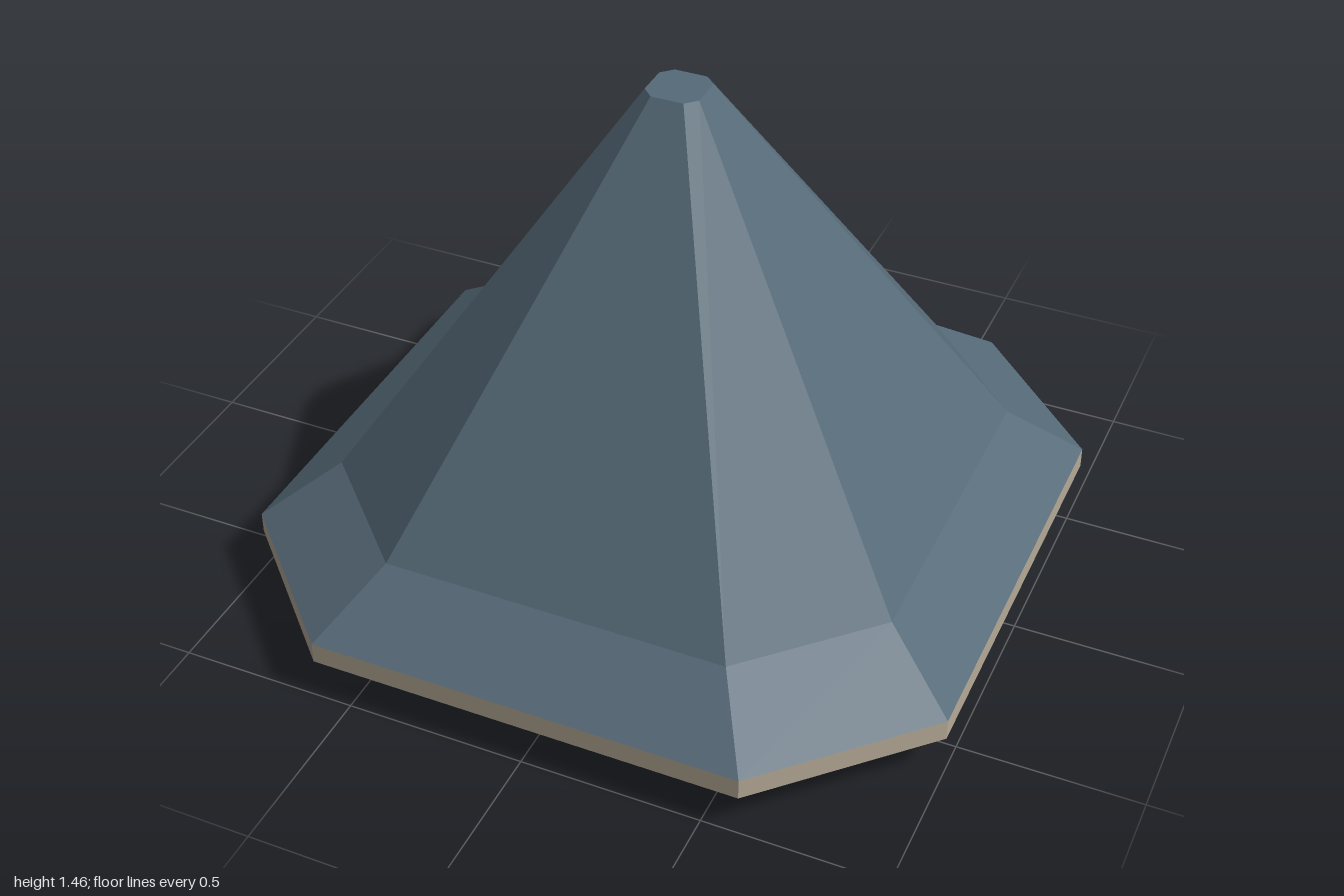
import * as THREE from 'three';

// Square with cut corners, counter-clockwise seen from above (x, z)
const OUTLINE = [
  [1, 0.6], [1, -0.6], [0.6, -1], [-0.6, -1],
  [-1, -0.6], [-1, 0.6], [-0.6, 1], [0.6, 1],
];

// Stack of scaled outlines; rings are [half width, height] from bottom to top
function stackedRings(rings, { capBottom = false, capTop = false } = {}) {
  const loops = rings.map(([s, y]) => OUTLINE.map(([x, z]) => [x * s, y, z * s]));
  const n = OUTLINE.length;
  const pos = [];
  const tri = (a, b, c) => pos.push(...a, ...b, ...c);

  for (let r = 0; r < loops.length - 1; r++) {
    for (let i = 0; i < n; i++) {
      const j = (i + 1) % n;
      const low = loops[r], high = loops[r + 1];
      tri(low[i], low[j], high[j]);
      tri(low[i], high[j], high[i]);
    }
  }
  const first = loops[0], last = loops[loops.length - 1];
  for (let i = 1; i < n - 1; i++) {
    if (capBottom) tri(first[0], first[i + 1], first[i]);
    if (capTop) tri(last[0], last[i], last[i + 1]);
  }

  const geometry = new THREE.BufferGeometry();
  geometry.setAttribute('position', new THREE.Float32BufferAttribute(pos, 3));
  geometry.computeVertexNormals(); // unshared corners give flat faces
  return geometry;
}

export function createModel() {
  const slate = new THREE.MeshStandardMaterial({ color: 0x566a78, flatShading: true });
  slate.name = 'slate blue';
  const stone = new THREE.MeshStandardMaterial({ color: 0xb5aa97, flatShading: true });
  stone.name = 'warm stone';

  const model = new THREE.Group();
  model.name = 'spireRoof';
  const add = (name, geometry, material) => {
    const mesh = new THREE.Mesh(geometry, material);
    mesh.name = name;
    model.add(mesh);
  };

  // Cornice: closed underside, sloped soffit and upright band
  add('cornice', stackedRings([[0.885, 0], [1, 0.12], [1, 0.18]], { capBottom: true }), stone);

  // Roof: flared eaves, then the steep spire with its small flat tip
  add('eaves', stackedRings([[1, 0.18], [0.8, 0.34]]), slate);
  add('spire', stackedRings([[0.8, 0.34], [0.075, 1.455]], { capTop: true }), slate);

  return model;
}
